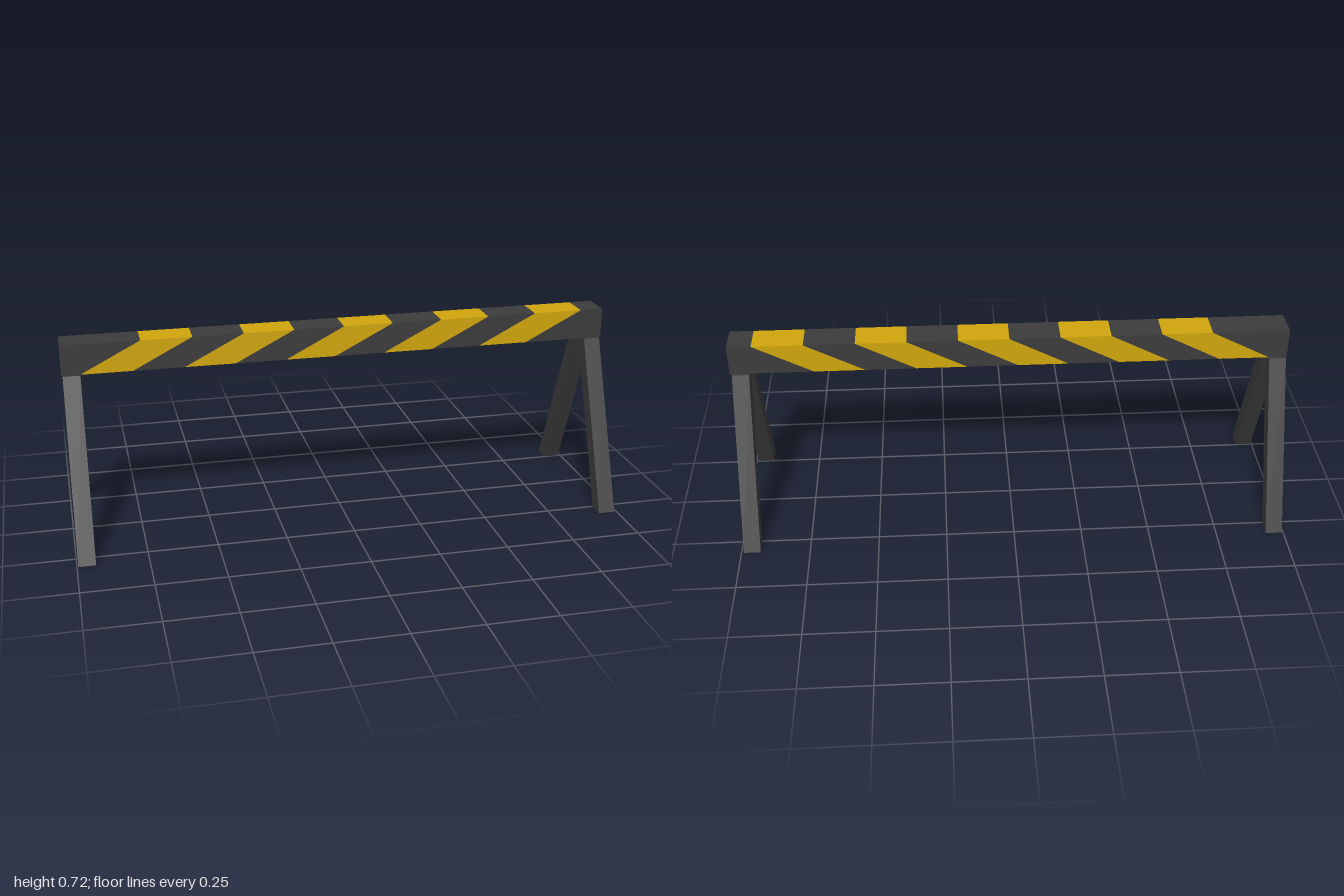
import * as THREE from 'three';

const dark = new THREE.MeshStandardMaterial({ color: 0x3c3c3c });
const yellow = new THREE.MeshStandardMaterial({ color: 0xd0a50c });

// Prism from a 2D outline, centred on its extrusion axis
function prism(points, depth) {
  const shape = new THREE.Shape(points.map(([x, y]) => new THREE.Vector2(x, y)));
  return new THREE.ExtrudeGeometry(shape, { depth, bevelEnabled: false }).translate(0, 0, -depth / 2);
}

function part(name, geometry, material) {
  const mesh = new THREE.Mesh(geometry, material);
  mesh.name = name;
  return mesh;
}

export function createModel() {
  const model = new THREE.Group();
  model.name = 'barrier';

  const bottom = 0.61, top = 0.72, thickness = 0.11;
  const pitch = 0.1818, slant = 0.213, start = -0.935, cuts = 10;

  // Crossbar: slanted blocks in alternating colours between square dark ends
  const crossbar = new THREE.Group();
  crossbar.name = 'crossbar';
  for (let i = 0; i <= cuts; i++) {
    const edge = start + pitch * i;
    const first = i === 0, last = i === cuts;
    const outline = [
      [first ? -1 : edge - pitch, bottom],
      [last ? 1 : edge, bottom],
      [last ? 1 : edge + slant, top],
      [first ? -1 : edge - pitch + slant, top],
    ];
    const name = first || last ? 'crossbarEnd' : i % 2 ? 'yellowStripe' : 'darkStripe';
    crossbar.add(part(name, prism(outline, thickness), i % 2 ? yellow : dark));
  }
  model.add(crossbar);

  // Splayed leg pairs, cut level at the floor and under the crossbar
  for (const [side, x] of [['right', -0.965], ['left', 0.961]]) {
    const legs = new THREE.Group();
    legs.name = side + 'Legs';
    for (const s of [1, -1]) {
      const outline = [[0.253, 0], [0.313, 0], [0.065, bottom], [0.005, bottom]];
      const geometry = prism(outline.map(([z, y]) => [s * z, y]), 0.061).rotateY(-Math.PI / 2);
      legs.add(part(s > 0 ? 'frontLeg' : 'backLeg', geometry, dark));
    }
    legs.position.x = x;
    model.add(legs);
  }
  return model;
}
